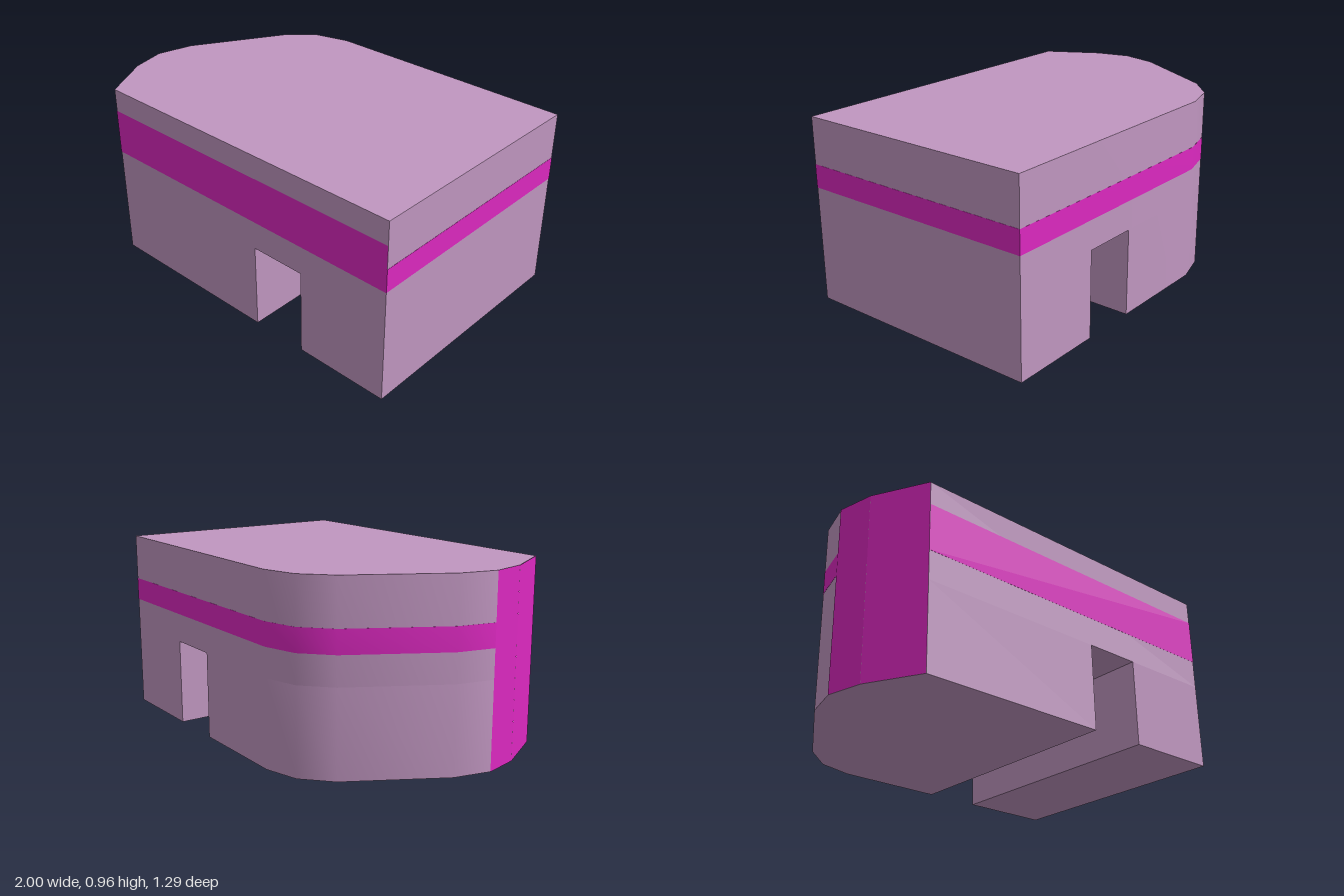
import * as THREE from 'three';
import { toCreasedNormals } from 'three/addons/utils/BufferGeometryUtils.js';

const HEIGHT = 0.96, PASSAGE_TOP = 0.45, BAND_LOW = 0.6, BAND_HIGH = 0.72;
const BACK = -0.645, FRONT = 0.645;

// Rounded end of the plan as [x, z], from the front wall round to the back wall
const nose = [
  [-0.805, FRONT], [-0.955, 0.38], [-1, 0.195], [-0.955, 0.005],
  [-0.685, -0.465], [-0.545, -0.595], [-0.365, BACK],
];
const planTo = (x) => [[x, BACK], [x, FRONT], ...nose];

// Upright block over a plan outline
function slab(plan, low, high) {
  const shape = new THREE.Shape(plan.map(([x, z]) => new THREE.Vector2(x, -z)));
  const geo = new THREE.ExtrudeGeometry(shape, { depth: high - low, bevelEnabled: false });
  geo.rotateX(-Math.PI / 2).translate(0, low, 0);
  return toCreasedNormals(geo, 0.75);
}

// Thin painted panel lying just outside the wall between two plan points
function panel([x0, z0], [x1, z1], low, high) {
  const dx = x1 - x0, dz = z1 - z0;
  const geo = new THREE.PlaneGeometry(Math.hypot(dx, dz), high - low);
  geo.translate(0, 0, 0.002).rotateY(Math.atan2(-dz, dx));
  return geo.translate((x0 + x1) / 2, (low + high) / 2, (z0 + z1) / 2);
}

export function createModel() {
  const model = new THREE.Group();
  model.name = 'building';
  const wallPaint = new THREE.MeshStandardMaterial({ color: 0xc096c0 });
  const bandPaint = new THREE.MeshStandardMaterial({ color: 0xdc28c0 });
  const add = (name, geo, material) => {
    const mesh = new THREE.Mesh(geo, material);
    mesh.name = name;
    model.add(mesh);
    return mesh;
  };

  // Ground storey, split by the passage
  add('roundedWing', slab(planTo(0.2), 0, PASSAGE_TOP), wallPaint);
  add('squareWing', slab([[1, BACK], [1, FRONT], [0.5, FRONT], [0.5, BACK]], 0, PASSAGE_TOP), wallPaint);

  // Upper storey bridging the passage
  add('upperStorey', slab(planTo(1), PASSAGE_TOP, HEIGHT), wallPaint);

  // Coloured band all the way round
  const band = add('band', slab(planTo(1), BAND_LOW, BAND_HIGH), bandPaint);
  band.scale.set(1.001, 1, 1.001);

  // Wider band on the front wall and painted front corner
  add('frontBand', panel(nose[0], [1, FRONT], BAND_LOW, 0.84), bandPaint);
  for (let i = 0; i < 2; i++) {
    add('cornerPanel', panel(nose[i + 1], nose[i], 0, HEIGHT), bandPaint);
  }
  return model;
}
